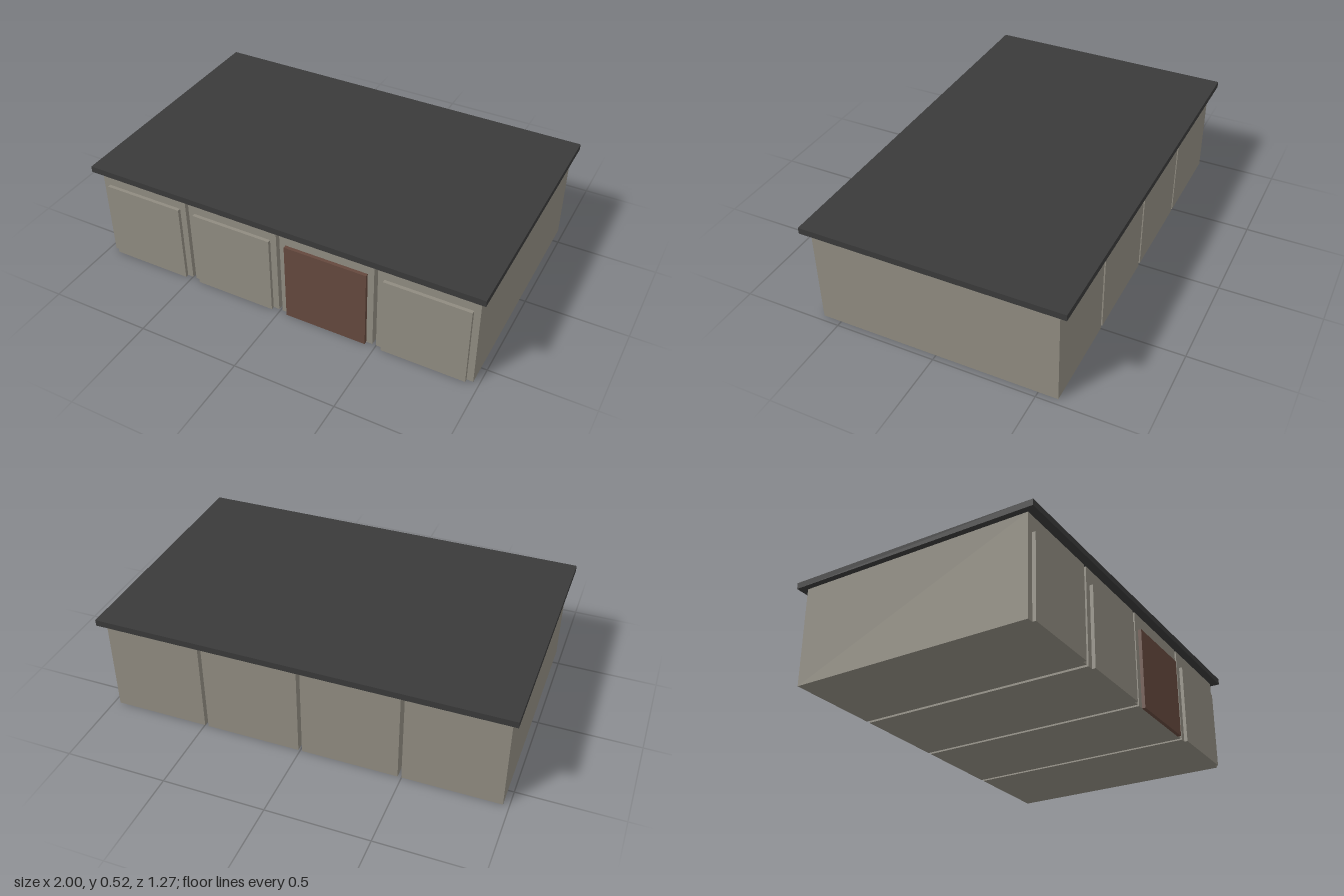
import * as THREE from 'three';

const WALL_TOP = 0.492, ROOF_TOP = 0.523, PITCH = 0.49;

export function createModel() {
  const model = new THREE.Group();
  model.name = 'garageRow';

  const material = (name, color) => {
    const m = new THREE.MeshStandardMaterial({ color });
    m.name = name;
    return m;
  };
  const concrete = material('concrete', 0x8f8b80);
  const rust = material('rustBrown', 0x64483d);
  const roofing = material('darkRoofing', 0x3a3a3a);

  // Box placed by its centre in x and z and its base in y
  const box = (name, mat, [w, h, d], [x, y, z]) => {
    const mesh = new THREE.Mesh(new THREE.BoxGeometry(w, h, d), mat);
    mesh.name = name;
    mesh.position.set(x, y + h / 2, z);
    return mesh;
  };

  // Four separate garages, each with a raised door; the third door is brown
  for (let i = 0; i < 4; i++) {
    const garage = new THREE.Group();
    garage.name = `garage${i + 1}`;
    garage.position.x = (i - 1.5) * PITCH;
    garage.add(
      box('walls', concrete, [0.472, WALL_TOP, 1.188], [0, 0, 0]),
      box('door', i === 2 ? rust : concrete, [0.41, 0.41, 0.018], [0, 0, 0.602]),
    );
    model.add(garage);
  }

  // Shared flat roof slab with an overhang
  model.add(box('roof', roofing, [2, ROOF_TOP - WALL_TOP, 1.27], [0, WALL_TOP, 0]));
  return model;
}
